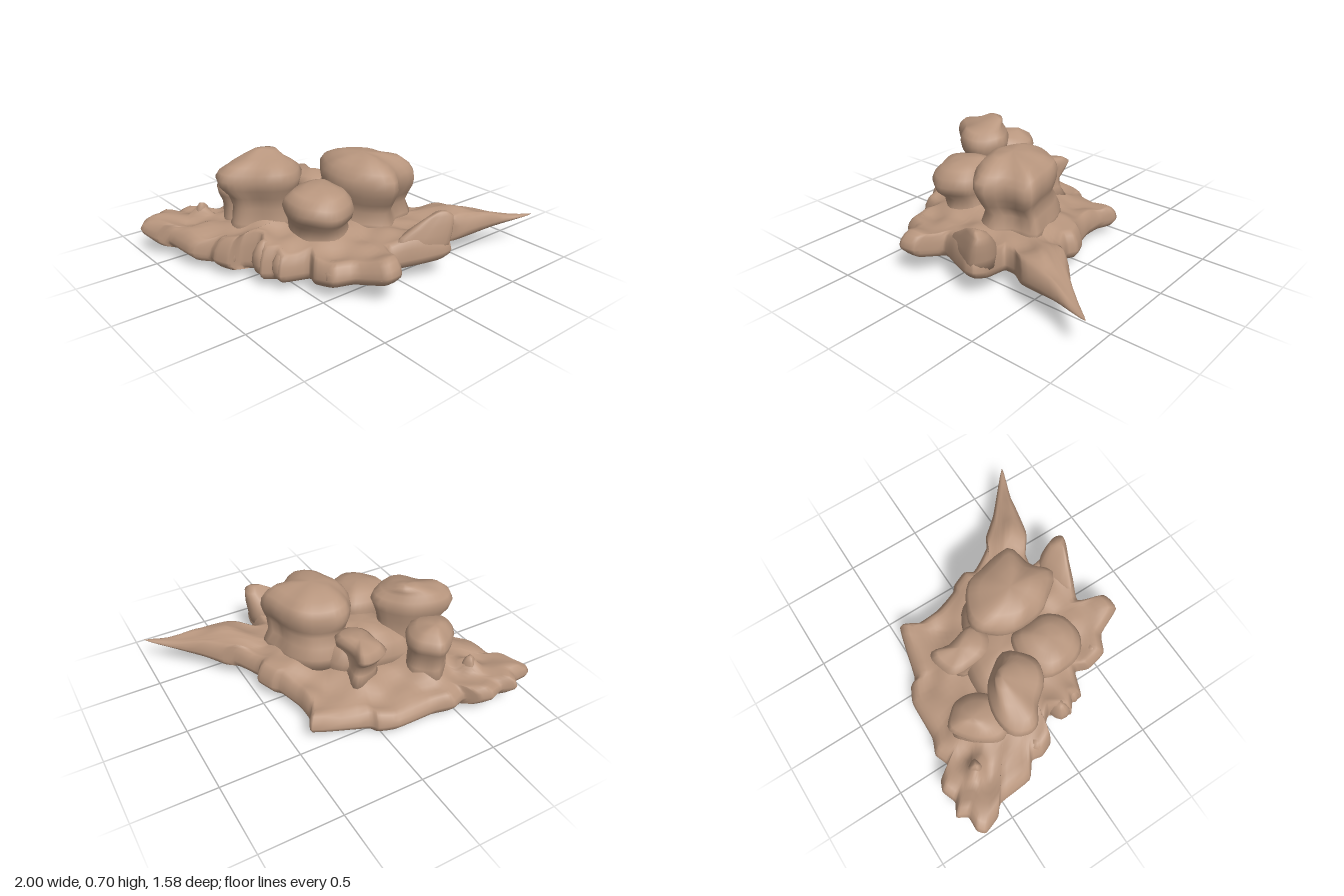
import * as THREE from 'three';
import { mergeVertices } from 'three/addons/utils/BufferGeometryUtils.js';

const stone = new THREE.MeshStandardMaterial({ color: 0xb8967e, roughness: 1 });
const smooth = THREE.MathUtils.smoothstep;

// Gentle weathering, the same for equal positions
const bump = (x, y, z) =>
  Math.sin(17 * x + 5 * y + 3 * z) * Math.sin(13 * z - 11 * y + 2) * Math.cos(9 * x - 15 * z + 7 * y);

// Joins closed rings; the first and last ring are collapsed to a point
function loft(name, rings) {
  const n = rings[0].length, pos = [], index = [];
  rings.forEach(r => r.forEach(p => pos.push(p.x, p.y, p.z)));
  for (let j = 0; j < rings.length - 1; j++) {
    for (let i = 0; i < n; i++) {
      const a = j * n + i, b = j * n + (i + 1) % n;
      if (j > 0) index.push(a, a + n, b);
      if (j < rings.length - 2) index.push(b, a + n, b + n);
    }
  }
  let g = new THREE.BufferGeometry();
  g.setAttribute('position', new THREE.Float32BufferAttribute(pos, 3));
  g.setIndex(index);
  g = mergeVertices(g, 1e-5);
  g.computeVertexNormals();
  const mesh = new THREE.Mesh(g, stone);
  mesh.name = name;
  return mesh;
}

// Closed curve through [x, z] points
function outline(points, n, tension) {
  const curve = new THREE.CatmullRomCurve3(
    points.map(([x, z]) => new THREE.Vector3(x, 0, z)), true, 'catmullrom', tension);
  return Array.from({ length: n }, (_, i) => curve.getPoint(i / n));
}

// Swellings of the slab's top: x, z, radius, height
const hills = [
  [.1, .12, .24, .15], [-.28, .22, .2, .11], [-.47, -.12, .2, .14], [-.43, -.4, .17, .11],
  [-.03, -.28, .17, .1], [-.15, 0, .2, .08], [.48, .42, .16, .06], [.02, .52, .18, .04],
  [.17, .62, .11, .07], [-.63, .06, .1, .07], [-.58, .2, .08, .04], [-.65, -.54, .06, .1],
  [-.72, -.36, .14, .05], [-.75, -.08, .08, .04], [-.82, -.62, .1, .03], [.42, .02, .1, .03],
];

// Height of the underside, a shallow tilted bowl
function floorAt(x, z) {
  const side = x > 0 ? .15 * x : -.06 * x + .02 * smooth(-x, .7, 1);
  return Math.hypot(side, .115 * (z + .3) ** 2) + .05 * smooth(-z, .55, .8);
}

// Wide slab with a ragged rim and a rising top
function baseSlab() {
  const rim = outline([
    [-1, -.69], [-.96, -.73], [-.87, -.73], [-.83, -.79], [-.75, -.75], [-.66, -.78], [-.59, -.75],
    [-.53, -.67], [-.44, -.7], [-.33, -.66], [-.08, -.65], [.03, -.6], [.07, -.55], [.4, -.46],
    [.36, -.35], [.36, -.22], [.41, -.05], [.45, -.01], [.49, .09], [.46, .15], [.55, .31],
    [.63, .36], [.74, .49], [1, .73], [.78, .66], [.5, .6], [.37, .51], [.28, .5], [.29, .66],
    [.26, .73], [.19, .73], [.05, .67], [-.1, .61], [-.17, .77], [-.28, .78], [-.36, .61],
    [-.47, .55], [-.5, .42], [-.47, .33], [-.62, .27], [-.62, .2], [-.68, .15], [-.61, .03],
    [-.68, -.05], [-.76, -.06], [-.8, -.15], [-.79, -.22], [-.88, -.3], [-.9, -.52], [-.96, -.58],
  ], 200, .25);
  const cx = -.1, cz = .05;
  // Share of the radius and of the thickness: underside, rounded rim, then the top
  const rows = [[0, 0], [.3, 0], [.6, 0], [.85, 0], [.95, .04], [.99, .25], [1, .45], [.985, .75], [.95, 1]];
  for (let s = .91; s > .1; s -= .05) rows.push([s, 1.15]);
  rows.push([0, 1.15]);
  return loft('baseSlab', rows.map(([s, t]) => rim.map(p => {
    const x = cx + (p.x - cx) * s, z = cz + (p.z - cz) * s;
    const thick = .115 * (1 - .85 * smooth(x, .55, 1));
    const hill = hills.reduce((h, [hx, hz, r, top]) =>
      h + top * Math.exp(-((x - hx) ** 2 + (z - hz) ** 2) / (r * r)), 0);
    const rough = .022 * bump(x, 0, z) * (1 - smooth(x, .6, 1));
    return new THREE.Vector3(x, floorAt(x, z) + thick * t + (hill + rough) * smooth(t, .4, 1), z);
  })));
}

// Rock with a plan outline; rows are [y, scale, shift x, shift z], last row is the peak
function boulder(name, points, rows, tilt = [0, 0], n = 32) {
  const plan = outline(points, n, .5);
  const c = plan.reduce((s, p) => s.add(p), new THREE.Vector3()).divideScalar(n);
  return loft(name, rows.map(([y, s, dx = 0, dz = 0]) => plan.map(p => {
    const ox = (p.x - c.x) * s, oz = (p.z - c.z) * s;
    const v = new THREE.Vector3(c.x + ox + dx, y + ox * tilt[0] + oz * tilt[1], c.z + oz + dz);
    const k = s > 0 ? .012 * bump(v.x, v.y, v.z) : 0;
    return v.add(new THREE.Vector3(ox * k * 5, k, oz * k * 5));
  })));
}

// Small rounded knob rising from the slab
function knob(name, x, z, r, bottom, top) {
  const ring = Array.from({ length: 7 }, (_, i) => {
    const a = i / 7 * Math.PI * 2 + x * 9, q = r * (1 + .15 * Math.sin(i * 2.4 + z * 20));
    return [x + Math.cos(a) * q, z + Math.sin(a) * q];
  });
  const h = top - bottom;
  return boulder(name, ring, [[0, 0], [.02, .8], [.3, 1], [.6, .92], [.85, .62], [.96, .3], [1, 0]]
    .map(([t, s]) => [bottom + h * t, s]), [0, 0], 14);
}

export function createModel() {
  const group = new THREE.Group();
  group.name = 'rockFormation';
  group.add(baseSlab());

  // Large mushroom-shaped boulders
  group.add(boulder('largeFrontBoulder',
    [[-.02, -.12], [.08, -.13], [.2, -.07], [.28, .05], [.31, .2], [.33, .34], [.18, .37], [.06, .46], [-.06, .38], [-.14, .24], [-.15, .08], [-.1, -.05]],
    [[.15, 0], [.2, 1, .02, -.02], [.28, .94, .02, -.03], [.35, .86, .01, -.03], [.41, .87], [.46, .95], [.51, 1], [.56, .98], [.6, .89], [.635, .7, -.01, .01], [.66, .4, -.02, .02], [.67, 0, -.02, .02]],
    [-.04, -.04]));
  group.add(boulder('lowFrontBoulder',
    [[-.46, .08], [-.35, .02], [-.2, .02], [-.12, .08], [-.12, .28], [-.17, .37], [-.31, .42], [-.41, .37], [-.48, .24]],
    [[.12, 0], [.14, 1, .03, -.02], [.26, .86, .03, -.04], [.33, .82, .01, -.03], [.38, .93], [.43, 1], [.48, .93], [.52, .72], [.54, .42], [.55, 0]],
    [.03, -.06]));
  group.add(boulder('tallLeftBoulder',
    [[-.71, -.22], [-.65, -.31], [-.54, -.33], [-.4, -.29], [-.31, -.22], [-.24, -.1], [-.28, .02], [-.38, .07], [-.5, .03], [-.6, -.07], [-.69, -.14]],
    [[.12, 0], [.2, .85, .02, 0], [.28, .76, .03, 0], [.38, .74, .03, 0], [.45, .8, .02, 0], [.51, .94], [.56, 1], [.6, .92], [.635, .75, .01, 0], [.66, .5, .05, -.02], [.69, .25, .09, -.04], [.7, 0, .1, -.04]],
    [.02, -.04]));
  group.add(boulder('backBoulder',
    [[-.61, -.4], [-.53, -.5], [-.42, -.57], [-.34, -.51], [-.29, -.44], [-.3, -.34], [-.4, -.24], [-.55, -.24], [-.62, -.3]],
    [[.12, 0], [.14, 1], [.26, .85, 0, .02], [.34, .82, 0, .01], [.4, .95], [.44, 1], [.48, .88], [.51, .6], [.53, .3, 0, -.02], [.535, 0, 0, -.03]]));

  // Saddle of stone filling the space between the boulders
  group.add(boulder('middleSaddle',
    [[-.4, -.28], [-.2, -.28], [.05, -.22], [.12, -.05], [.1, .2], [-.15, .25], [-.35, .1], [-.45, -.1]],
    [[.1, 0], [.15, 1], [.28, 1], [.36, .85], [.4, .6], [.42, .3], [.425, 0]]));

  // Pointed spur behind the large boulder
  group.add(boulder('backSpur',
    [[-.15, -.36], [-.04, -.42], [.04, -.4], [.03, -.28], [.06, -.12], [-.05, -.06], [-.14, -.15]],
    [[.12, 0], [.2, 1.05, .02, .05], [.27, .92, 0, .06], [.33, .85, 0, .05], [.38, .92, 0, .01], [.42, 1], [.45, .75], [.465, .35], [.47, 0]],
    [0, .04], 24));

  // Raised horn on the front lobe
  group.add(boulder('frontHorn',
    [[-.06, .58], [.06, .52], [.2, .5], [.28, .56], [.29, .66], [.24, .73], [.14, .7], [.04, .65]],
    [[.14, 0], [.16, .93], [.23, .97], [.28, .88, .02, .01], [.33, .68, .05, .03], [.38, .45, .08, .05], [.405, .2, .08, .06], [.41, 0, .08, .06]], [0, 0], 24));

  // Knobs along the front and left rim: x, z, radius, bottom, top
  [
    [-.23, .69, .08, .13, .245], [-.41, .5, .08, .1, .22], [-.56, .21, .07, .07, .24],
    [-.61, .1, .07, .07, .27], [-.71, -.14, .08, .06, .23], [-.65, -.54, .05, .1, .3],
  ].forEach((k, i) => group.add(knob('rimKnob' + (i + 1), ...k)));
  return group;
}
